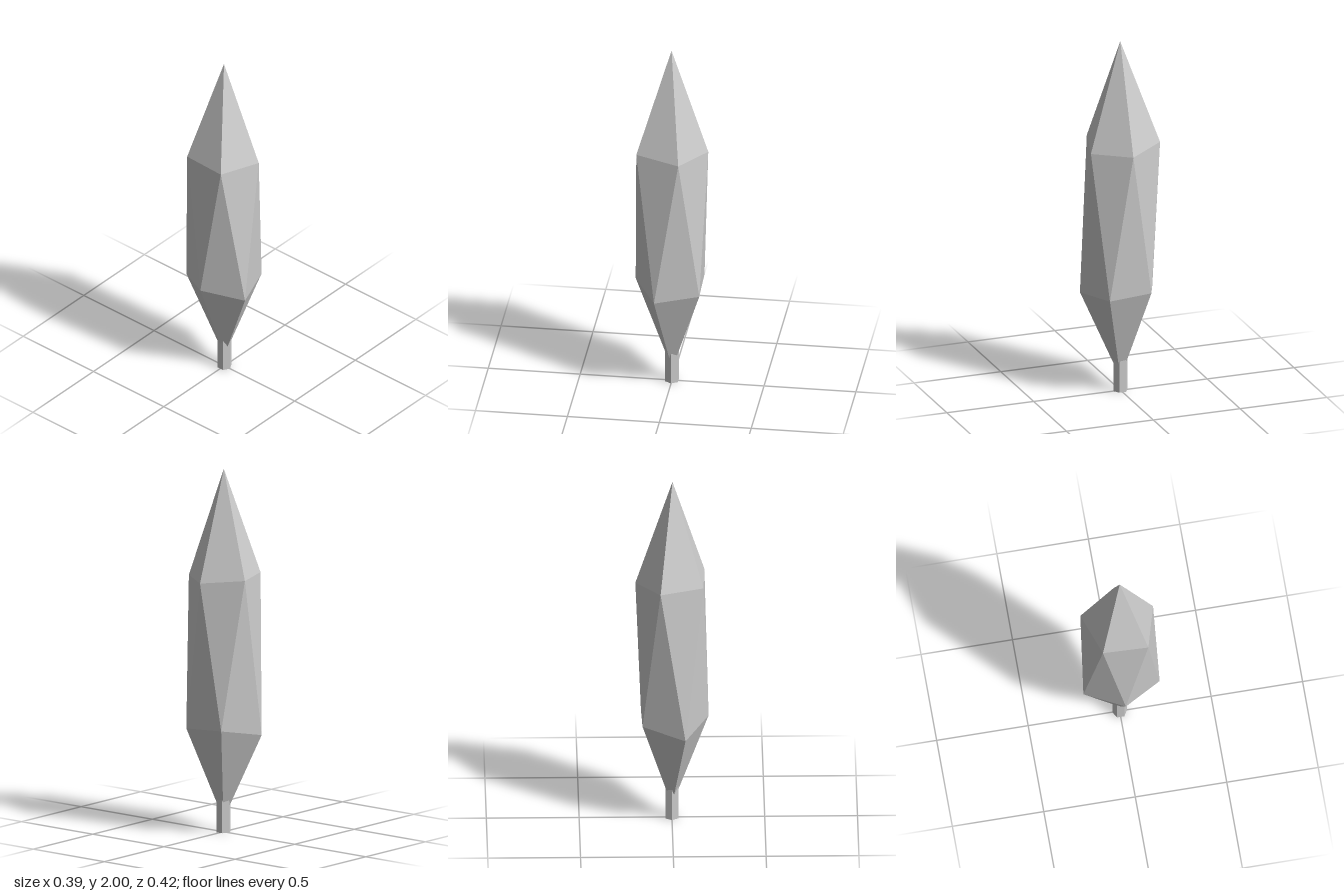
import * as THREE from 'three';

// Faceted crown: two staggered five-sided rings between a top and a bottom tip
function crownGeometry() {
  const top = [-0.003, 2, 0], bottom = [0, 0.07, 0];
  const upper = [[0.197, 1.4, 0], [0.06, 1.4, 0.193], [-0.177, 1.42, 0.127], [-0.168, 1.42, -0.12], [0.064, 1.42, -0.204]];
  const lower = [[0.165, 0.58, 0.123], [-0.07, 0.565, 0.207], [-0.198, 0.605, 0], [-0.07, 0.55, -0.21], [0.16, 0.595, -0.118]];
  const points = [];
  for (let i = 0; i < 5; i++) {
    const j = (i + 1) % 5;
    points.push(
      ...top, ...upper[j], ...upper[i],
      ...upper[i], ...upper[j], ...lower[i],
      ...upper[j], ...lower[j], ...lower[i],
      ...bottom, ...lower[i], ...lower[j],
    );
  }
  const geometry = new THREE.BufferGeometry();
  geometry.setAttribute('position', new THREE.Float32BufferAttribute(points, 3));
  geometry.computeVertexNormals(); // unshared corners give flat facets
  return geometry;
}

export function createModel() {
  const group = new THREE.Group();
  group.name = 'tree';
  const grey = new THREE.MeshStandardMaterial({ color: 0xcccccc, flatShading: true });
  grey.name = 'light grey';

  const crown = new THREE.Mesh(crownGeometry(), grey);
  crown.name = 'crown';

  // Six-sided trunk reaching up into the crown
  const trunk = new THREE.Mesh(new THREE.CylinderGeometry(0.04, 0.04, 0.2, 6), grey);
  trunk.name = 'trunk';
  trunk.position.y = 0.1;

  group.add(crown, trunk);
  return group;
}
